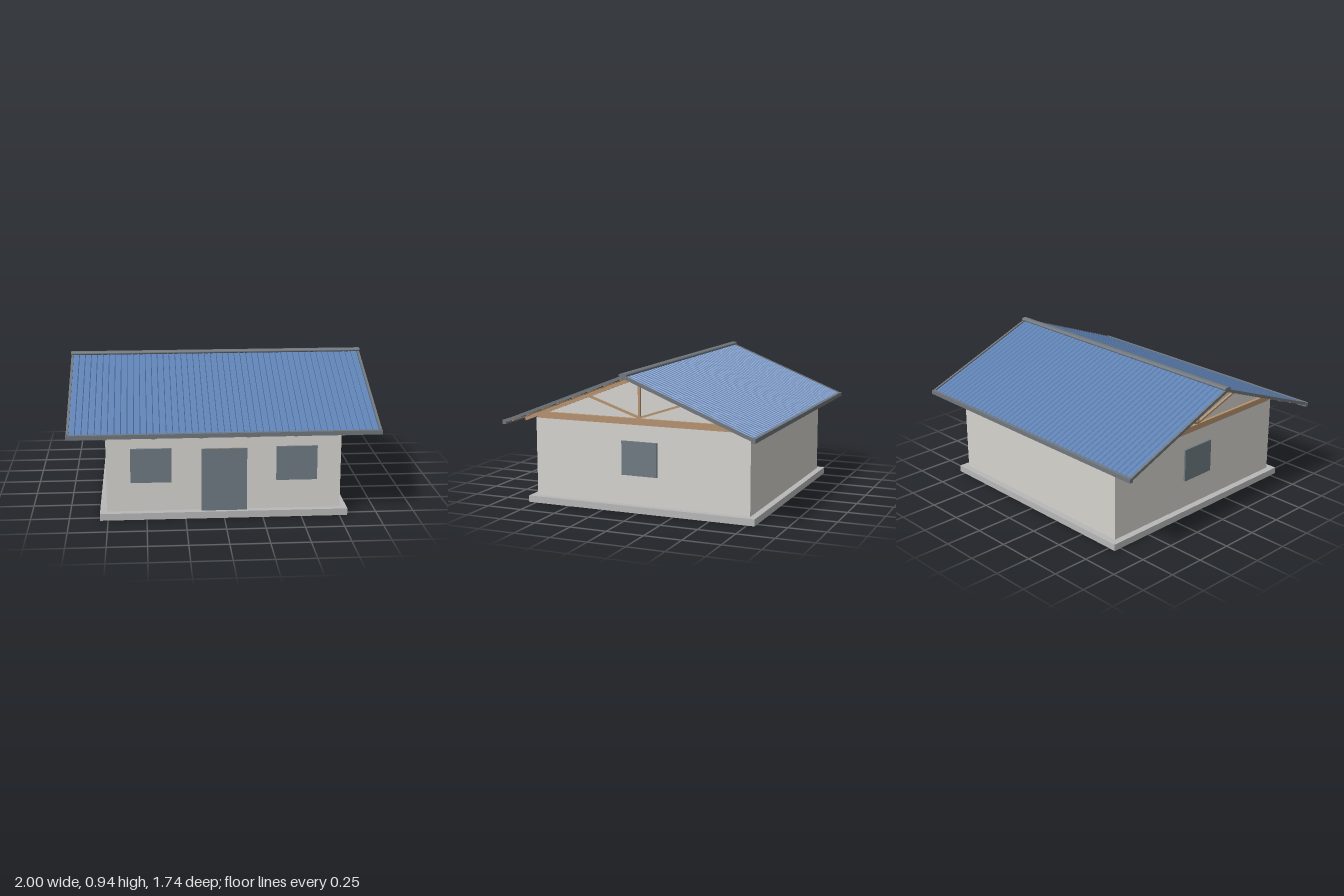
import * as THREE from 'three';

const paint = (name, color) => Object.assign(new THREE.MeshStandardMaterial({ color }), { name });

export function createModel() {
  const wall = paint('plaster', 0xd5d3ce);
  const concrete = paint('concrete', 0xb8b8b8);
  const glass = paint('glass', 0x6e7a82);
  const wood = paint('wood', 0xb5926f);
  const blue = paint('roofBlue', 0x5f82b4);
  const trim = paint('trimGrey', 0x70777d);
  const dark = paint('underlay', 0x48494d);

  const house = new THREE.Group();
  house.name = 'house';
  const add = (parent, name, geometry, material, x = 0, y = 0, z = 0) => {
    const m = new THREE.Mesh(geometry, material);
    m.name = name;
    m.position.set(x, y, z);
    parent.add(m);
    return m;
  };
  const box = (parent, name, material, w, h, d, x, y, z) =>
    add(parent, name, new THREE.BoxGeometry(w, h, d), material, x, y, z);

  // Base and walls
  box(house, 'foundation', concrete, 1.604, 0.045, 1.604, 0, 0.0225, 0);
  box(house, 'walls', wall, 1.514, 0.53, 1.514, 0, 0.31, 0);

  // Door and windows
  box(house, 'door', wood, 0.29, 0.415, 0.018, 0, 0.2525, 0.764);
  box(house, 'doorPanel', glass, 0.294, 0.417, 0.006, 0, 0.2535, 0.776);
  for (const s of [-1, 1]) {
    box(house, 'frontWindow', glass, 0.264, 0.226, 0.016, s * 0.47, 0.353, 0.763);
    box(house, 'sideWindow', glass, 0.016, 0.226, 0.25, s * 0.761, 0.353, 0);
  }

  // Gable panels, set just behind the end trusses
  const gable = new THREE.Shape([
    [-0.755, 0.57], [0.755, 0.57], [0.755, 0.6], [0, 0.897], [-0.755, 0.6],
  ].map(([a, b]) => new THREE.Vector2(a, b)));
  for (const s of [-1, 1]) {
    const geometry = new THREE.ExtrudeGeometry(gable, { depth: 0.01, bevelEnabled: false });
    geometry.translate(0, 0, -0.005).rotateY(Math.PI / 2);
    add(house, 'gable', geometry, wall, s * 0.738, 0, 0);
  }

  // Wall plates
  for (const s of [-1, 1]) {
    box(house, 'sidePlate', wood, 1.516, 0.02, 0.03, 0, 0.584, s * 0.735);
    box(house, 'endPlate', wood, 0.03, 0.018, 1.44, s * 0.744, 0.583, 0);
  }

  // Roof trusses
  const apexY = 0.925, pitch = 0.375, length = 0.913;
  const strut = (parent, name, [z1, y1], [z2, y2], thick) => {
    const m = box(parent, name, wood, 0.016, thick, Math.hypot(z2 - z1, y2 - y1), 0, (y1 + y2) / 2, (z1 + z2) / 2);
    m.rotation.x = -Math.atan2(y2 - y1, z2 - z1);
  };
  for (let i = 0; i < 6; i++) {
    const truss = new THREE.Group();
    truss.name = 'truss';
    truss.position.x = -0.755 + i * 0.302;
    box(truss, 'bottomChord', wood, 0.02, 0.025, 1.5, 0, 0.605, 0);
    box(truss, 'kingPost', wood, 0.016, 0.28, 0.015, 0, 0.755, 0);
    for (const s of [-1, 1]) {
      strut(truss, 'web', [0, 0.622], [s * 0.37, 0.746], 0.013);
      // Rafter with plumb ridge cut
      const rise = Math.tan(pitch);
      const rafter = new THREE.Shape([
        [0, 0.904], [0.842, 0.904 - 0.842 * rise], [0.834, 0.878 - 0.834 * rise], [0, 0.878],
      ].map(([a, b]) => new THREE.Vector2(a, b)));
      const geometry = new THREE.ExtrudeGeometry(rafter, { depth: 0.022, bevelEnabled: false });
      geometry.translate(0, 0, -0.011).rotateY(-s * Math.PI / 2);
      add(truss, 'rafter', geometry, wood);
    }
    house.add(truss);
  }

  // Corrugated sheet outline: ribs across the width, flat underneath
  const ribs = 48, width = 1.964, step = width / ribs;
  const outline = [new THREE.Vector2(-width / 2, -0.012)];
  for (let i = 0; i < ribs; i++) {
    const x = -width / 2 + i * step;
    for (const [t, y] of [[0, -0.006], [0.5, -0.006], [0.62, 0], [0.88, 0]]) {
      outline.push(new THREE.Vector2(x + t * step, y));
    }
  }
  outline.push(new THREE.Vector2(width / 2, -0.006), new THREE.Vector2(width / 2, -0.012));
  const sheet = new THREE.ExtrudeGeometry(new THREE.Shape(outline.reverse()), { depth: length, bevelEnabled: false });

  // Two mirrored roof slopes
  for (const turn of [0, Math.PI]) {
    const side = new THREE.Group();
    side.name = 'roofSide';
    side.rotation.y = turn;
    const slope = new THREE.Group();
    slope.name = 'roofSlope';
    slope.position.y = apexY;
    slope.rotation.x = pitch;
    add(slope, 'roofSheet', sheet, blue);
    box(slope, 'underlay', dark, width, 0.003, length, 0, -0.0135, length / 2);
    for (let i = 0; i < 8; i++) {
      box(slope, 'purlin', wood, width, 0.007, 0.016, 0, -0.0185, 0.03 + i * 0.12);
    }
    for (const s of [-1, 1]) {
      box(slope, 'vergeTrim', trim, 0.016, 0.02, length, s * 0.99, -0.007, length / 2);
    }
    side.add(slope);
    box(side, 'gutter', trim, 2, 0.027, 0.026, 0, 0.577, 0.855);
    house.add(side);
  }

  // Ridge cap
  const cap = new THREE.CylinderGeometry(0.027, 0.027, 2, 12);
  cap.rotateZ(Math.PI / 2).scale(1, 0.48, 1);
  add(house, 'ridgeCap', cap, trim, 0, 0.927, 0);

  return house;
}
